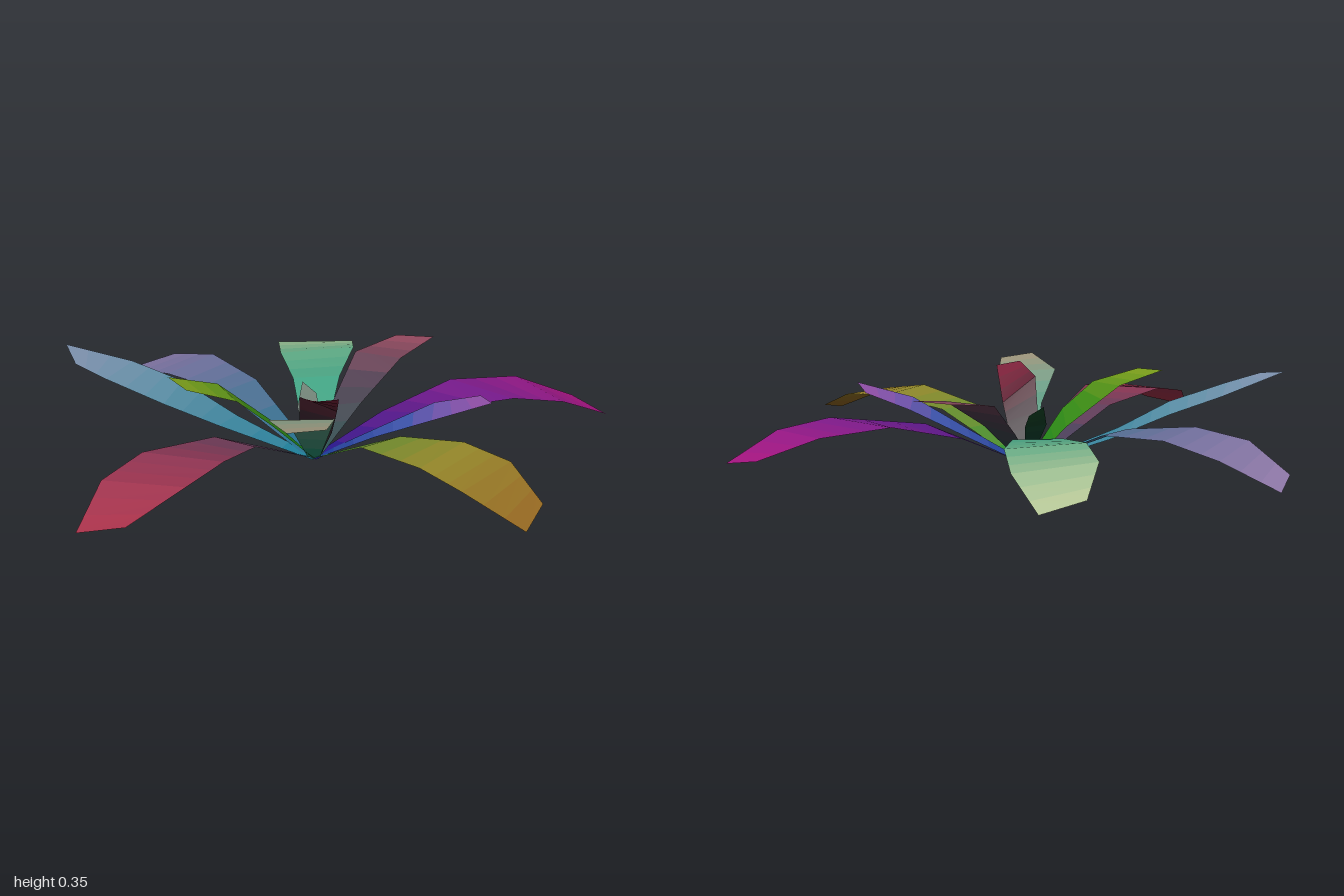
import * as THREE from 'three';

// Point where all leaves meet (plan x, z)
const CENTRE = [-0.12, 0.06];
const BANDS = 3; // colour bands between two neighbouring cross-sections

// Height profiles: [distance from centre, height]
const ARCHED = [[0, 0.01], [0.2, 0.1], [0.36, 0.17], [0.56, 0.203], [0.74, 0.2], [0.89, 0.165], [1.06, 0.085]];
const RISING = [[0, 0.01], [0.3, 0.125], [0.48, 0.215], [0.62, 0.267], [0.87, 0.355]];
const LOW = [[0, 0.01], [0.2, 0.11], [0.4, 0.21], [0.6, 0.27]];
const CUPPED = [[0, 0.01], [0.2, 0.18], [0.36, 0.28], [0.6, 0.315]];
const STEEP = [[0, 0.01], [0.15, 0.16], [0.3, 0.28], [0.5, 0.33]];
const INNER = [[0, 0.01], [0.07, 0.14], [0.16, 0.29], [0.34, 0.328]];
const SHOOT = [[0, 0.01], [0.05, 0.12], [0.15, 0.24]];

function heightAt(profile, d) {
  for (let i = 1; i < profile.length; i++) {
    const [d0, h0] = profile[i - 1], [d1, h1] = profile[i];
    if (d <= d1 || i === profile.length - 1) {
      return Math.max(0, h0 + (h1 - h0) * (d - d0) / (d1 - d0));
    }
  }
}

// Colour along a leaf, through three stops
function gradient(stops, t) {
  const s = Math.min(t * 2, 1.999), i = Math.floor(s);
  return new THREE.Color(stops[i]).lerp(new THREE.Color(stops[i + 1]), s - i);
}

// One flat strip of leaf between two cross-sections [edgeA, edgeB]
function band(p, q, color) {
  const geo = new THREE.BufferGeometry().setFromPoints([p[0], p[1], q[0], q[1]]);
  const up = new THREE.Vector3().subVectors(p[1], p[0])
    .cross(new THREE.Vector3().subVectors(q[0], p[0])).y > 0;
  geo.setIndex(up ? [0, 1, 2, 1, 3, 2] : [0, 2, 1, 1, 2, 3]);
  geo.computeVertexNormals();
  const mesh = new THREE.Mesh(geo, new THREE.MeshStandardMaterial({ color, side: THREE.DoubleSide }));
  mesh.name = 'leafBand';
  return mesh;
}

// Leaf from its two plan edges, base to tip, lifted by a height profile
function leaf(name, profile, stops, edgeA, edgeB, baseWidth = 0.04) {
  const group = new THREE.Group();
  group.name = name;
  const a = edgeA[edgeA.length - 1], b = edgeB[edgeB.length - 1];
  const axis = new THREE.Vector2((a[0] + b[0]) / 2 - CENTRE[0], (a[1] + b[1]) / 2 - CENTRE[1]).normalize();
  const lift = ([x, z]) => new THREE.Vector3(
    x, heightAt(profile, (x - CENTRE[0]) * axis.x + (z - CENTRE[1]) * axis.y), z);

  // narrow base, with its corners on the matching sides
  const side = Math.sign(axis.x * (a[1] - b[1]) - axis.y * (a[0] - b[0]));
  const w = side * baseWidth / 2;
  const base = [1, -1].map(s => lift([CENTRE[0] - axis.y * w * s, CENTRE[1] + axis.x * w * s]));
  const sections = [base, ...edgeA.map((p, i) => [lift(p), lift(edgeB[i])])];

  const spans = sections.length - 1;
  for (let i = 0; i < spans; i++) {
    const at = t => [0, 1].map(k => sections[i][k].clone().lerp(sections[i + 1][k], t));
    for (let j = 0; j < BANDS; j++) {
      const t = (i + (j + 0.5) / BANDS) / spans;
      group.add(band(at(j / BANDS), at((j + 1) / BANDS), gradient(stops, t)));
    }
  }
  return group;
}

export function createModel() {
  const plant = new THREE.Group();
  plant.name = 'rosettePlant';
  plant.add(
    // Long arching outer leaves
    leaf('longLeafRight', ARCHED, [0x14148a, 0x7a1a8a, 0xa81480],
      [[0.135, -0.05], [0.4, -0.16], [0.65, -0.215], [0.855, -0.19]],
      [[0.24, 0.085], [0.575, 0.085], [0.76, 0.055], [0.945, -0.05]]),
    leaf('longLeafFrontRight', ARCHED, [0x149030, 0x958a2a, 0x946420],
      [[-0.01, 0.42], [0.13, 0.715], [0.235, 0.86], [0.41, 0.99]],
      [[0.135, 0.33], [0.315, 0.5], [0.435, 0.655], [0.495, 0.85]]),
    leaf('longLeafFrontLeft', ARCHED, [0x10405a, 0x8c3452, 0xa83048],
      [[-0.475, 0.26], [-0.72, 0.445], [-0.855, 0.585], [-0.94, 0.78]],
      [[-0.35, 0.375], [-0.47, 0.575], [-0.6, 0.73], [-0.79, 0.835]]),
    leaf('longLeafBackLeft', ARCHED, [0x14708c, 0x70709e, 0x927aaa],
      [[-0.405, -0.215], [-0.595, -0.365], [-0.73, -0.52], [-0.8, -0.715]],
      [[-0.28, -0.33], [-0.415, -0.585], [-0.55, -0.745], [-0.72, -0.85]]),
    leaf('longLeafBack', ARCHED, [0x109a80, 0x60aa84, 0xb8c696],
      [[-0.145, -0.335], [-0.165, -0.56], [-0.15, -0.77], [-0.06, -0.96]],
      [[0.025, -0.33], [0.115, -0.6], [0.14, -0.805], [0.1, -1]]),
    // Straight rising leaf
    leaf('risingLeafLeft', RISING, [0x1484a0, 0x5a94ac, 0x8496b4],
      [[-0.37, -0.11], [-0.55, -0.22], [-0.72, -0.27], [-0.95, -0.255]],
      [[-0.445, 0.035], [-0.63, 0.035], [-0.82, -0.04], [-0.92, -0.1]]),
    // Shorter middle leaves
    leaf('middleLeafRight', LOW, [0x143c9a, 0x4058b4, 0x9a50aa],
      [[0.08, 0.075], [0.29, 0.115], [0.43, 0.21]],
      [[0.07, 0.195], [0.24, 0.33], [0.44, 0.35]]),
    leaf('middleLeafBackRight', CUPPED, [0x104a48, 0x503e50, 0x96485e],
      [[-0.04, -0.09], [0.075, -0.28], [0.24, -0.375]],
      [[0.06, -0.03], [0.22, -0.165], [0.365, -0.31]]),
    leaf('middleLeafLeft', STEEP, [0x108a18, 0x3c8c14, 0x80a01c],
      [[-0.255, 0.045], [-0.445, 0.03], [-0.615, 0.07]],
      [[-0.28, 0.195], [-0.395, 0.205], [-0.56, 0.195]]),
    leaf('middleLeafFront', CUPPED, [0x109070, 0x6a9a84, 0xa0947a],
      [[-0.22, 0.265], [-0.315, 0.44], [-0.28, 0.665]],
      [[-0.09, 0.265], [-0.1, 0.45], [-0.15, 0.625]]),
    // Young upright leaves at the heart
    leaf('innerLeafFront', INNER, [0x0a2c24, 0x3c2430, 0x80203a],
      [[-0.175, 0.12], [-0.19, 0.24], [-0.17, 0.4]],
      [[-0.065, 0.12], [-0.055, 0.175], [-0.075, 0.365]]),
    leaf('heartShoot', SHOOT, [0x083a30, 0x0a3a28, 0x144a28],
      [[-0.15, 0.02], [-0.165, -0.03], [-0.14, -0.09]],
      [[-0.1, 0.02], [-0.09, -0.02], [-0.095, -0.06]], 0.025),
  );
  return plant;
}
